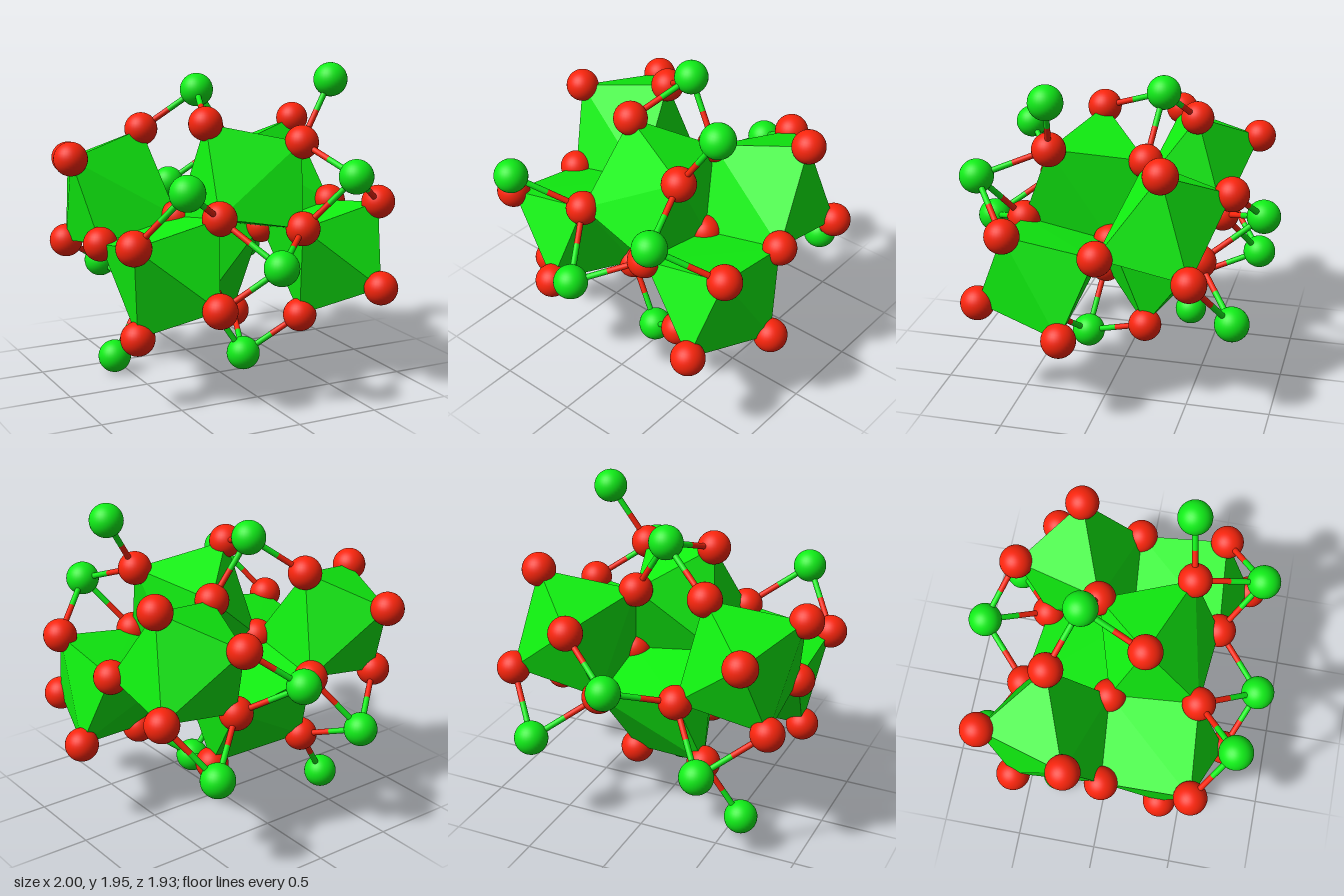
import * as THREE from 'three';
import { ConvexGeometry } from 'three/addons/geometries/ConvexGeometry.js';

const RADIUS = 0.102, BOND_RADIUS = 0.018, MAX_BOND = 0.52;

// Half of the red corner atoms, measured from the centre of inversion
const CORNERS = {
  A1: [-0.898, 0.431, -0.17], A2: [0.178, 0.431, -0.17],
  B: [-0.18, 0.638, 0.17], D: [0.358, 0.518, 0.37],
  C1: [-0.358, 0.546, -0.374], C2: [0.717, 0.546, -0.374],
  E1: [-0.262, 0.142, 0.517], E2: [0.813, 0.142, 0.517],
  F1: [-0.813, 0.04, 0.562], F2: [0.262, 0.04, 0.562],
  H1: [-0.358, -0.34, 0.715], H2: [0.717, -0.34, 0.715],
  I1: [0.797, 0.053, -0.022], I2: [-0.278, 0.053, -0.022],
};

// Half of the green outer atoms
const OUTER = [
  [-0.047, 0.788, -0.226], [0.584, 0.874, 0.313], [-0.586, 0.366, 0.773],
  [0.488, 0.366, 0.773], [-0.047, -0.094, 0.861],
];

// Seven-cornered cages; a minus sign means the inverted corner
const CAGES = [
  'A1 C1 -H2 -I1 I2 -E2 -F2',
  'A2 C2 -H1 -I2 I1 -E1 -F1',
  'B D A2 I2 -I2 E1 F2',
];

export function createModel() {
  const model = new THREE.Group();
  model.position.y = 0.987;
  const green = new THREE.MeshStandardMaterial({ color: 0x10ee18 });
  const red = new THREE.MeshStandardMaterial({ color: 0xfa250c });
  const cageGreen = new THREE.MeshStandardMaterial({ color: 0x10f010, flatShading: true });

  const add = (name, geometry, material, position) => {
    const mesh = new THREE.Mesh(geometry, material);
    mesh.name = name;
    if (position) mesh.position.copy(position);
    model.add(mesh);
    return mesh;
  };

  const point = (p, sign) => new THREE.Vector3(...p).multiplyScalar(sign);
  const withInverse = (list) => [1, -1].flatMap((s) => list.map((p) => point(p, s)));
  const corners = withInverse(Object.values(CORNERS));
  const outers = withInverse(OUTER);

  // Atoms
  const ball = new THREE.SphereGeometry(RADIUS, 32, 20);
  corners.forEach((p) => add('cornerAtom', ball, red, p));
  outers.forEach((p) => add('outerAtom', ball, green, p));

  // Bonds, each half coloured like its nearer atom
  const up = new THREE.Vector3(0, 1, 0);
  const halfBond = (from, to, material) => {
    const dir = to.clone().sub(from);
    const rod = new THREE.CylinderGeometry(BOND_RADIUS, BOND_RADIUS, dir.length(), 16, 1, true);
    const mesh = add('bond', rod, material, from.clone().lerp(to, 0.5));
    mesh.quaternion.setFromUnitVectors(up, dir.normalize());
  };
  for (const o of outers) {
    for (const c of corners) {
      if (o.distanceTo(c) > MAX_BOND) continue;
      const middle = o.clone().lerp(c, 0.5);
      halfBond(o, middle, green);
      halfBond(middle, c, red);
    }
  }

  // Faceted cages and their inverted twins
  for (const sign of [1, -1]) {
    for (const cage of CAGES) {
      const points = cage.split(' ').map((key) =>
        point(CORNERS[key.replace('-', '')], key[0] === '-' ? -sign : sign));
      add('cage', new ConvexGeometry(points), cageGreen);
    }
  }

  const root = new THREE.Group();
  root.name = 'crystalCluster';
  root.add(model);
  return root;
}
